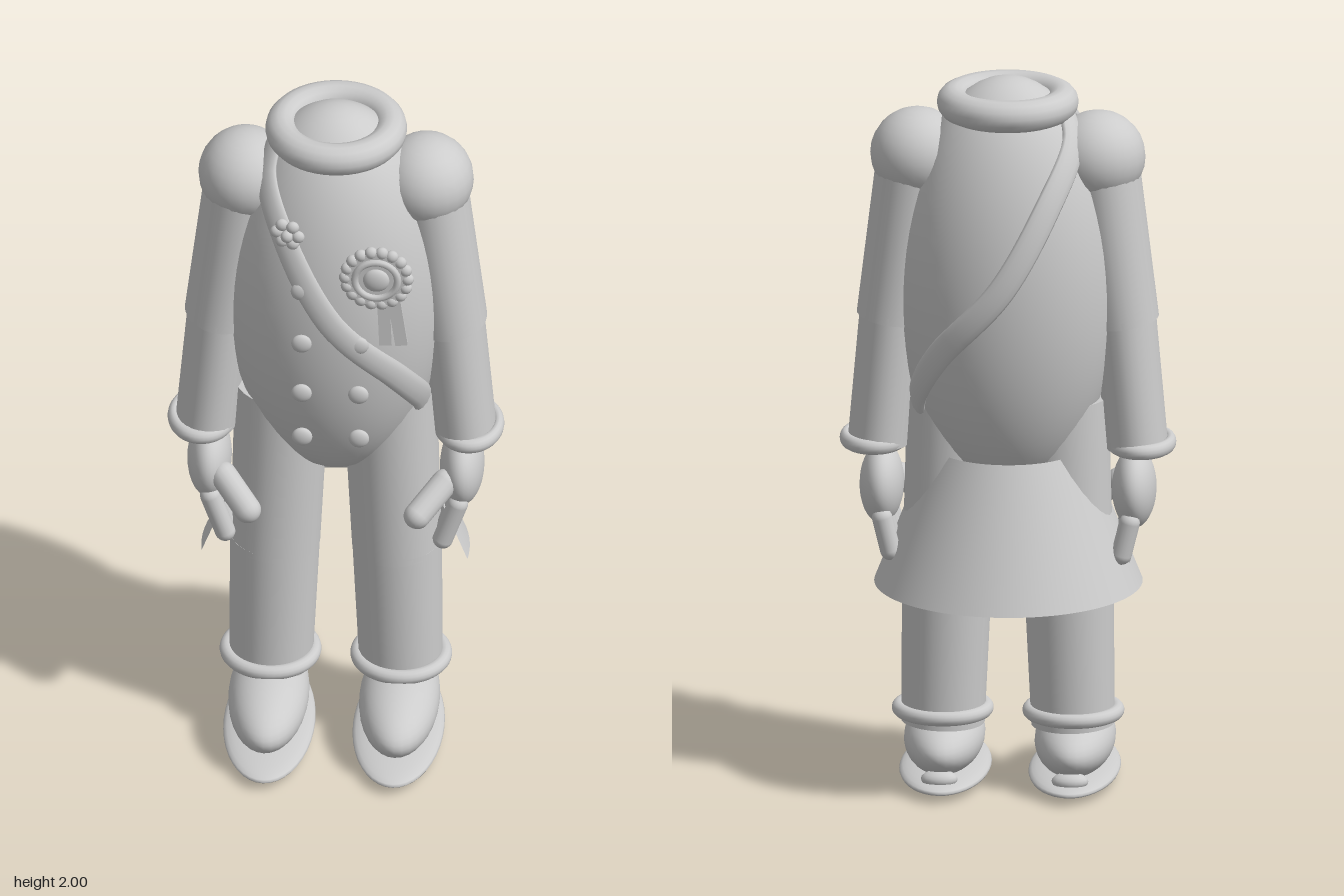
import * as THREE from 'three';

const V = (x, y, z) => new THREE.Vector3(x, y, z);
// torso ellipsoid
const C = V(0, 1.42, -0.025), R = V(0.3, 0.58, 0.265);

export function createModel() {
  const root = new THREE.Group();
  root.name = 'headlessUniformFigure';
  const mat = new THREE.MeshStandardMaterial({ color: 0xcccccc });
  mat.name = 'plain grey';
  const sheetMat = mat.clone();
  sheetMat.name = 'plain grey sheet';
  sheetMat.side = THREE.DoubleSide;

  const add = (name, geo, pos = V(0, 0, 0), parent = root) => {
    const m = new THREE.Mesh(geo, mat);
    m.name = name;
    m.position.copy(pos);
    parent.add(m);
    return m;
  };
  const blob = (name, pos, rx, ry, rz, w = 32, h = 20, parent = root) => {
    const m = add(name, new THREE.SphereGeometry(1, w, h), pos, parent);
    m.scale.set(rx, ry, rz);
    return m;
  };
  // cylinder from a to b, optionally flattened in its own x
  const limb = (name, a, b, ra, rb, flat = 1) => {
    const d = b.clone().sub(a);
    const m = add(name, new THREE.CylinderGeometry(rb, ra, d.length(), 28), a.clone().add(b).multiplyScalar(0.5));
    m.quaternion.setFromUnitVectors(V(0, 1, 0), d.normalize());
    m.scale.x = flat;
    return m;
  };
  const capsule = (name, a, b, r) => {
    const d = b.clone().sub(a);
    const m = add(name, new THREE.CapsuleGeometry(r, d.length(), 8, 16), a.clone().add(b).multiplyScalar(0.5));
    m.quaternion.setFromUnitVectors(V(0, 1, 0), d.normalize());
    return m;
  };
  const ring = (name, pos, r, tube, sx = 1) => {
    const m = add(name, new THREE.TorusGeometry(r, tube, 14, 48).rotateX(Math.PI / 2), pos);
    m.scale.x = sx;
    return m;
  };

  // torso and collar
  blob('torso', C, R.x, R.y, R.z, 48, 32);
  ring('collar', V(0, 1.93, -0.028), 0.148, 0.044);

  // shirt pleats below the collar
  for (const x of [-0.09, 0, 0.09]) {
    const z = x ? 0.125 : 0.145;
    const pleat = blob('shirtPleat', V(x, 1.74, z), 0.045, 0.2, 0.035, 20, 16);
    pleat.rotation.x = -0.38;
    pleat.rotation.z = x * 1.2;
  }

  for (const s of [-1, 1]) {
    // arm
    blob('shoulder', V(s * 0.245, 1.78, -0.022), 0.128, 0.125, 0.134, 24, 14);
    limb('upperSleeve', V(s * 0.315, 1.32, -0.02), V(s * 0.255, 1.78, -0.02), 0.113, 0.118, 0.84);
    limb('lowerSleeve', V(s * 0.35, 0.97, -0.02), V(s * 0.315, 1.34, -0.02), 0.11, 0.113, 0.76);
    ring('cuff', V(s * 0.362, 0.975, -0.018), 0.104, 0.021, 0.75);

    // hand
    blob('palm', V(s * 0.342, 0.845, -0.015), 0.06, 0.11, 0.118);
    for (let i = 0; i < 4; i++) {
      const z = 0.07 - i * 0.057;
      const drop = i === 3 ? 0.025 : 0;
      capsule('finger', V(s * 0.335, 0.77, z), V(s * (0.295 + i * 0.006), 0.655 + drop, z), 0.028);
    }
    capsule('thumb', V(s * 0.3, 0.84, 0.07), V(s * 0.23, 0.78, 0.145), 0.037);

    // leg
    limb('thigh', V(s * 0.165, 0.575, -0.02), V(s * 0.145, 1.1, -0.02), 0.122, 0.128);
    limb('shin', V(s * 0.176, 0.18, -0.018), V(s * 0.165, 0.595, -0.02), 0.113, 0.122);
    ring('trouserHem', V(s * 0.177, 0.215, -0.014), 0.118, 0.02);

    // shoe
    blob('shoe', V(s * 0.177, 0.118, 0.06), 0.109, 0.09, 0.256);
    blob('sole', V(s * 0.175, 0.03, 0.067), 0.124, 0.028, 0.293, 40, 16);
    blob('heel', V(s * 0.177, 0.052, -0.15), 0.05, 0.025, 0.035, 16, 10);
  }

  // coat skirt, open at the front
  const skirt = add('coatSkirt',
    new THREE.CylinderGeometry(0.21, 0.363, 0.385, 48, 4, true, Math.PI / 2 - 0.13, Math.PI + 0.26),
    V(0, 0.765, 0));
  skirt.material = sheetMat;

  // sash: closed band around the torso, given as [angle from front, height]
  const path = [[-60, 1.84], [-27, 1.69], [0, 1.47], [36, 1.27], [62, 1.14], [90, 1.05],
    [118, 1.14], [144, 1.27], [180, 1.47], [207, 1.69], [240, 1.84], [270, 1.92]];
  const curve = new THREE.CatmullRomCurve3(path.map(([deg, y]) => {
    const a = deg * Math.PI / 180, k = Math.sqrt(1 - ((y - C.y) / R.y) ** 2);
    return V(Math.sin(a) * R.x * k, y, C.z + Math.cos(a) * R.z * k);
  }), true);
  const N = 96, M = 12, pos = [], idx = [];
  for (let i = 0; i < N; i++) {
    const p = curve.getPoint(i / N), t = curve.getTangent(i / N);
    const q = p.clone().sub(C).divide(R);
    p.copy(q.normalize()).multiply(R).add(C);
    const n = p.clone().sub(C).divide(R).divide(R).normalize();
    const side = t.clone().cross(n).normalize();
    for (let j = 0; j < M; j++) {
      const a = j / M * Math.PI * 2;
      const v = p.clone().addScaledVector(n, 0.004 + Math.cos(a) * 0.014).addScaledVector(side, Math.sin(a) * 0.037);
      pos.push(v.x, v.y, v.z);
      const b = i * M + j, c = i * M + (j + 1) % M;
      const d = ((i + 1) % N) * M + j, e = ((i + 1) % N) * M + (j + 1) % M;
      idx.push(b, d, c, c, d, e);
    }
  }
  const band = new THREE.BufferGeometry();
  band.setAttribute('position', new THREE.Float32BufferAttribute(pos, 3));
  band.setIndex(idx);
  band.computeVertexNormals();
  add('sash', band).material = sheetMat;

  // buttons
  for (const [x, y, z] of [[-0.08, 1.565, 0.228], [-0.078, 1.4, 0.238], [0.076, 1.4, 0.238],
    [-0.078, 1.235, 0.235], [0.076, 1.235, 0.235], [-0.078, 1.075, 0.212], [0.076, 1.075, 0.212]]) {
    blob('button', V(x, y, z), 0.028, 0.028, 0.014, 20, 12);
  }

  // rosette with ribbon tails
  const rosette = new THREE.Group();
  rosette.name = 'rosette';
  rosette.position.set(0.125, 1.625, 0.238);
  root.add(rosette);
  const disc = (r, z) => add('rosetteDisc', new THREE.CylinderGeometry(r, r, 0.02, 36).rotateX(Math.PI / 2), V(0, 0, z), rosette);
  disc(0.085, 0);
  add('rosetteRing', new THREE.TorusGeometry(0.058, 0.01, 8, 36), V(0, 0, 0.01), rosette);
  blob('rosetteCentre', V(0, 0, 0.01), 0.036, 0.036, 0.016, 20, 12, rosette);
  for (let i = 0; i < 18; i++) {
    const a = i / 18 * Math.PI * 2;
    blob('rosettePetal', V(Math.cos(a) * 0.084, Math.sin(a) * 0.084, 0), 0.018, 0.018, 0.015, 12, 8, rosette);
  }
  for (const [x, tilt] of [[0.02, 0.04], [0.055, 0.14]]) {
    const tail = add('ribbonTail', new THREE.BoxGeometry(0.034, 0.17, 0.01), V(x, -0.15, -0.025), rosette);
    tail.rotation.z = tilt;
  }

  // small flower pinned on the sash
  const flower = V(-0.118, 1.742, 0.212);
  blob('flowerCentre', flower.clone().add(V(0, 0, 0.012)), 0.018, 0.018, 0.016, 12, 8);
  for (let i = 0; i < 6; i++) {
    const a = i / 6 * Math.PI * 2;
    blob('flowerPetal', flower.clone().add(V(Math.cos(a) * 0.03, Math.sin(a) * 0.03, Math.cos(a) * 0.012)), 0.018, 0.018, 0.014, 12, 8);
  }
  return root;
}
